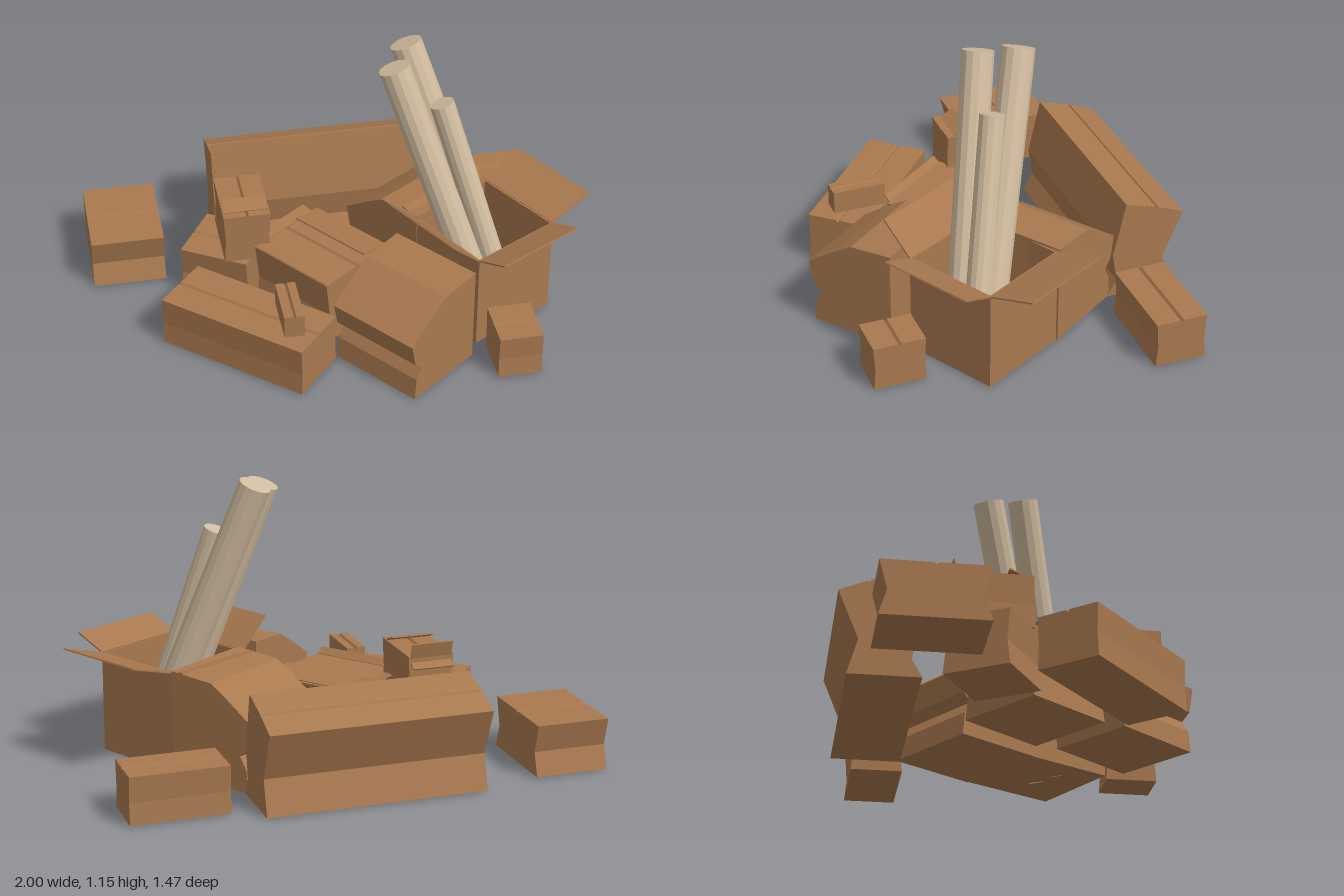
import * as THREE from 'three';

const card = new THREE.MeshStandardMaterial({ color: 0xa9794f, flatShading: true, side: THREE.DoubleSide });
const tubeMat = new THREE.MeshStandardMaterial({ color: 0xd2bda0, flatShading: true });

// Carton: a side profile [s, y] swept over its length, turned about y and set at x, y, z
function carton(name, profile, length, x, y, z, turn) {
  const shape = new THREE.Shape(profile.map(([s, h]) => new THREE.Vector2(s, h)));
  const geo = new THREE.ExtrudeGeometry(shape, { depth: length, bevelEnabled: false });
  geo.translate(0, 0, -length / 2);
  const group = new THREE.Group();
  const body = new THREE.Mesh(geo, card);
  body.name = name + 'Body';
  group.name = name;
  group.add(body);
  group.position.set(x, y, z);
  group.rotation.y = turn;
  return group;
}

// Closed carton: slightly pinched sides and a seam between the lid flaps
function closed(w, h, pinch = 0) {
  const a = w / 2;
  return [[-a, 0], [a, 0], [a - pinch, h * 0.45], [a, h], [0.008, h], [0, h - 0.01],
    [-0.008, h], [-a, h], [-a + pinch, h * 0.45]];
}

// Crushed carton: one side buckles in low down and bulges above, the lid sags to it
function crushed(w, h) {
  const a = w / 2;
  return [[-a + 0.02, 0], [a, 0], [a, h], [-a + 0.2, h * 0.97], [-a + 0.12, h * 0.85],
    [-a, h * 0.65], [-a + 0.02, h * 0.42], [-a + 0.06, h * 0.34], [-a + 0.03, h * 0.22]];
}

// Lid flap hinged at distance dist from the carton axis; side 0 = +z, turning about y
function flap(parent, side, dist, y, width, out, rise) {
  const pivot = new THREE.Group();
  pivot.name = 'flapHinge';
  pivot.rotation.y = side;
  const len = Math.hypot(out, rise);
  const geo = new THREE.BoxGeometry(width, 0.006, len);
  geo.translate(0, 0, len / 2);
  const mesh = new THREE.Mesh(geo, card);
  mesh.name = 'flap';
  mesh.position.set(0, y, dist);
  mesh.rotation.x = -Math.atan2(rise, out);
  pivot.add(mesh);
  parent.add(pivot);
}

// Solid roll running from its top centre to its foot
function roll(name, top, foot, r) {
  const a = new THREE.Vector3(...top), b = new THREE.Vector3(...foot);
  const mesh = new THREE.Mesh(new THREE.CylinderGeometry(r, r, a.distanceTo(b), 14), tubeMat);
  mesh.name = name;
  mesh.position.copy(a).add(b).multiplyScalar(0.5);
  mesh.quaternion.setFromUnitVectors(new THREE.Vector3(0, 1, 0), a.sub(b).normalize());
  return mesh;
}

// Open carton with thin walls, a floor and spread flaps
function openCarton() {
  const g = new THREE.Group();
  g.name = 'openBox';
  const w = 0.4, h = 0.41, t = 0.008;
  const floor = new THREE.Mesh(new THREE.BoxGeometry(w, t, w), card);
  floor.name = 'openBoxFloor';
  floor.position.y = t / 2;
  g.add(floor);
  for (let i = 0; i < 4; i++) {
    const geo = new THREE.BoxGeometry(w, h, t);
    geo.translate(0, h / 2, w / 2 - t / 2);
    const wall = new THREE.Mesh(geo, card);
    wall.name = 'openBoxWall';
    wall.rotation.y = i * Math.PI / 2;
    g.add(wall);
  }
  const spread = [[0.14, 0.055], [0.2, 0.06], [0.06, 0.01], [0.13, 0.12]];
  spread.forEach(([out, rise], i) => flap(g, i * Math.PI / 2, w / 2, h, w, out, rise));
  g.position.set(0.55, 0, 0.16);
  g.rotation.y = 0.5;
  return g;
}

export function createModel() {
  const model = new THREE.Group();
  model.name = 'boxPile';
  const H = Math.PI / 2;

  // Long sagging carton at the back
  model.add(carton('longBackBox', [[-0.11, 0], [0.17, 0], [0.13, 0.07], [0.15, 0.19], [0.1, 0.42],
    [-0.03, 0.382], [-0.035, 0.372], [-0.04, 0.379], [-0.15, 0.335], [-0.07, 0.14]],
  0.89, -0.015, 0, -0.59, -H));

  // Low cartons around the edge
  model.add(carton('rightBackBox', closed(0.21, 0.19, 0.008), 0.39, 0.735, 0, -0.505, -H));
  model.add(carton('leftBackBox', closed(0.4, 0.21, 0.03), 0.3, -0.85, 0, -0.43, -H));
  model.add(carton('smallFrontBox', closed(0.21, 0.185, 0.006), 0.175, 0.595, 0, 0.55, -H));
  model.add(carton('longFrontBox', closed(0.26, 0.21, 0.005), 0.65, -0.43, 0, 0.3, H - 0.72));
  model.add(carton('tinyTopBox', closed(0.08, 0.095), 0.22, -0.28, 0.212, 0.4, 0));

  // Stack of two on the left
  model.add(carton('stackLowerBox', closed(0.27, 0.22, 0.012), 0.29, -0.45, 0, -0.16, H - 0.55));
  const upper = carton('stackUpperBox', closed(0.19, 0.215, 0.006), 0.29, -0.382, 0.22, -0.15, 0);
  flap(upper, 0, 0.11, 0.215, 0.18, -0.06, 0.025);
  flap(upper, Math.PI, 0.145, 0.21, 0.17, 0.015, 0.06);
  flap(upper, Math.PI, 0.14, 0.19, 0.17, 0.035, -0.02);
  model.add(upper);

  // Crumpled cartons in the middle
  model.add(carton('crushedFrontBox', crushed(0.38, 0.41), 0.4, 0.165, 0, 0.46, 0.66));
  model.add(carton('crushedBackBox', crushed(0.4, 0.42), 0.41, 0.35, 0, -0.17, -0.98));
  const middle = carton('middleBox', closed(0.37, 0.29, 0.02), 0.39, -0.09, 0, 0.055, 0.65);
  flap(middle, -H, 0.18, 0.29, 0.37, 0.025, 0.025);
  flap(middle, Math.PI, 0.19, 0.29, 0.3, 0.05, 0.01);
  flap(middle, H, 0.17, 0.29, 0.37, -0.12, 0.02);
  model.add(middle);

  // Open carton holding three rolls
  model.add(openCarton());
  model.add(roll('leftRoll', [0.2, 1.1, 0.05], [0.555, 0.02, 0.26], 0.063));
  model.add(roll('backRoll', [0.275, 1.125, -0.085], [0.64, 0.02, 0.19], 0.065));
  model.add(roll('shortRoll', [0.39, 0.925, 0.065], [0.65, 0.02, 0.24], 0.05));
  return model;
}
